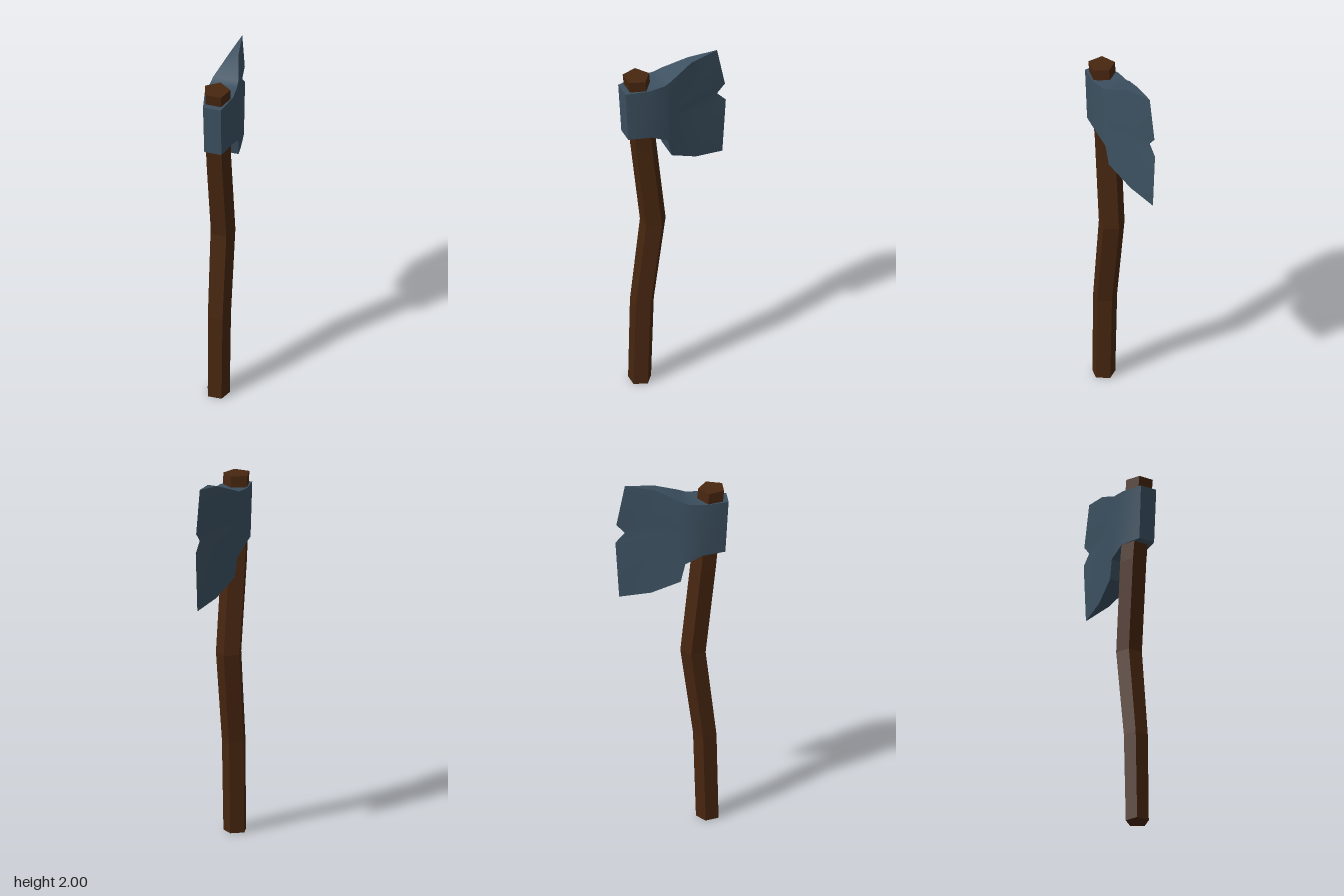
import * as THREE from 'three';
import { toCreasedNormals } from 'three/addons/utils/BufferGeometryUtils.js';

// Crooked five-sided shaft: one ring per entry [x, y, z, radius]
function handleGeometry() {
  const rings = [
    [0, 0, 0.194, 0.0635],
    [0, 0.5, 0.181, 0.066],
    [0, 1, 0.119, 0.071],
    [-0.009, 1.5, 0.17, 0.072],
    [0, 1.96, 0.215, 0.073],
  ];
  const n = rings.length - 1;
  const geo = new THREE.CylinderGeometry(1, 1, 1, 5, n, false, Math.PI);
  const p = geo.attributes.position;
  for (let i = 0; i < p.count; i++) {
    const [x, y, z, r] = rings[Math.round((p.getY(i) + 0.5) * n)];
    p.setXYZ(i, x + p.getX(i) * r, y, z + p.getZ(i) * r);
  }
  geo.computeVertexNormals();
  return geo;
}

// Wedge head: sections from poll to cutting edge, each point is [z, y, halfWidth]
function headGeometry() {
  const steps = [0, 0.49, 0.576, 0.65, 1];
  const column = (bottom, top) =>
    steps.map((t) => bottom.map((b, k) => b + (top[k] - b) * t));
  const sections = [
    column([0.28, 1.597, 0.047], [0.297, 1.895, 0.049]),
    column([0.16, 1.597, 0.076], [0.17, 1.9, 0.078]),
    column([0.065, 1.55, 0.073], [0.085, 1.905, 0.073]),
    column([0.042, 1.445, 0.068], [0.05, 1.92, 0.069]),
    column([-0.11, 1.37, 0.032], [-0.09, 1.98, 0.026]),
    // chipped cutting edge
    [[-0.275, 1.34, 0], [-0.295, 1.665, 0], [-0.245, 1.72, 0], [-0.29, 1.77, 0], [-0.245, 2, 0]],
  ];
  const pos = [];
  const at = (s, r, side) => {
    const [z, y, w] = sections[s][r];
    return [side * w, y, z];
  };
  const quad = (a, b, c, d) => pos.push(...a, ...b, ...c, ...a, ...c, ...d);
  const last = sections.length - 1;
  const top = steps.length - 1;

  for (let s = 0; s < last; s++) {
    // cheeks
    for (let r = 0; r < top; r++) {
      quad(at(s, r, 1), at(s + 1, r, 1), at(s + 1, r + 1, 1), at(s, r + 1, 1));
      quad(at(s, r + 1, -1), at(s + 1, r + 1, -1), at(s + 1, r, -1), at(s, r, -1));
    }
    // upper and lower faces
    quad(at(s, top, -1), at(s, top, 1), at(s + 1, top, 1), at(s + 1, top, -1));
    quad(at(s + 1, 0, -1), at(s + 1, 0, 1), at(s, 0, 1), at(s, 0, -1));
  }
  // poll face
  for (let r = 0; r < top; r++) {
    quad(at(0, r, -1), at(0, r, 1), at(0, r + 1, 1), at(0, r + 1, -1));
  }
  const geo = new THREE.BufferGeometry();
  geo.setAttribute('position', new THREE.Float32BufferAttribute(pos, 3));
  return toCreasedNormals(geo, 0.6);
}

export function createModel() {
  const model = new THREE.Group();
  model.name = 'axe';

  const wood = new THREE.MeshStandardMaterial({ color: 0x472610, flatShading: true });
  const handle = new THREE.Mesh(handleGeometry(), wood);
  handle.name = 'handle';

  const metal = new THREE.MeshStandardMaterial({ color: 0x3c5060 });
  const head = new THREE.Mesh(headGeometry(), metal);
  head.name = 'axeHead';

  model.add(handle, head);
  return model;
}
